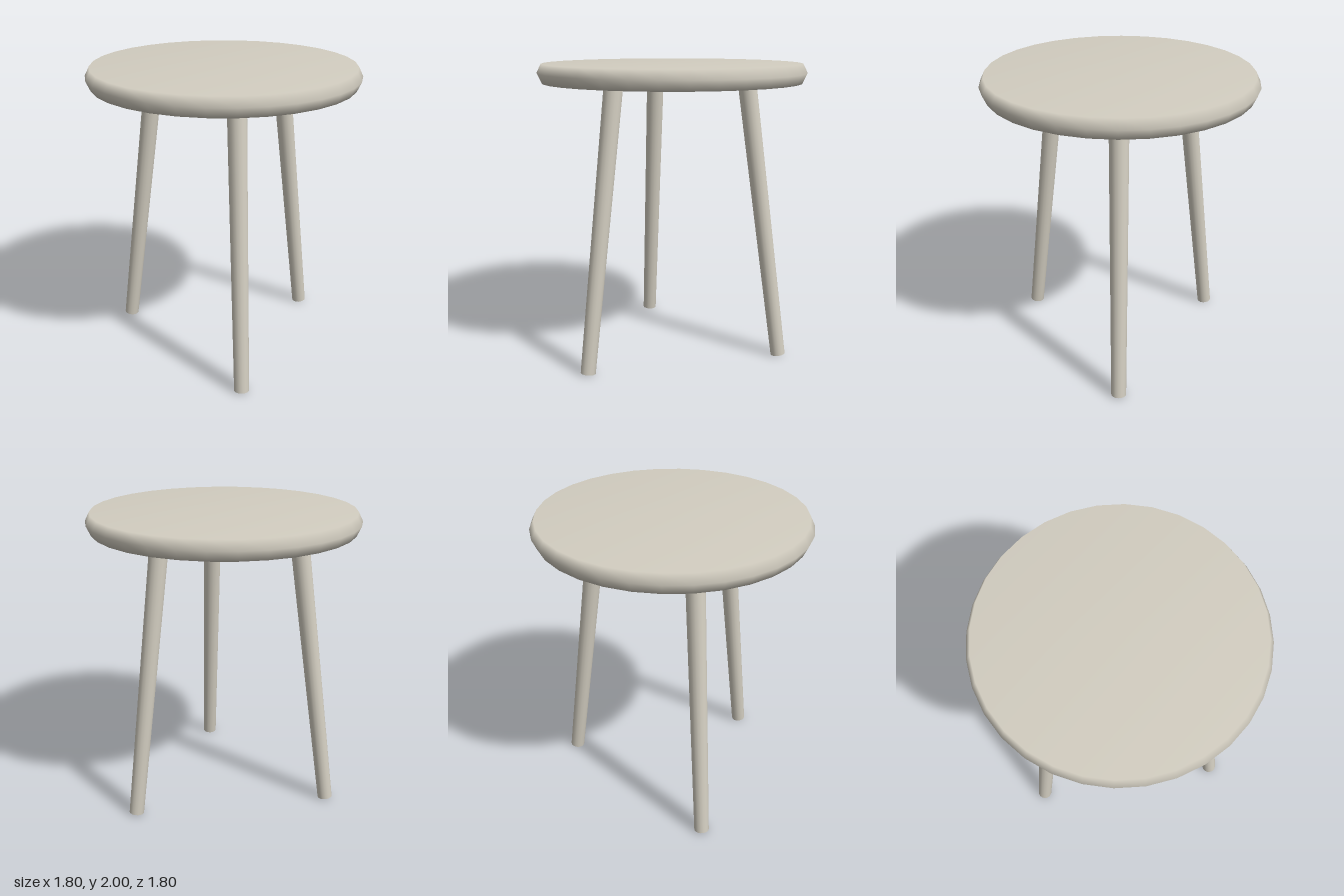
import * as THREE from 'three';
import { mergeVertices } from 'three/addons/utils/BufferGeometryUtils.js';

// Weld the vertices so shading runs smoothly over every edge
function smooth(geometry) {
  geometry.deleteAttribute('normal');
  geometry.deleteAttribute('uv');
  const welded = mergeVertices(geometry, 1e-4);
  welded.computeVertexNormals();
  return welded;
}

export function createModel() {
  const stool = new THREE.Group();
  stool.name = 'stool';
  const paint = new THREE.MeshStandardMaterial({ color: 0xd2cdc0 });
  paint.name = 'warm grey';

  // Round seat with a pointed bevel around the rim
  const profile = [[0, 1.875], [0.87, 1.875], [0.9, 1.94], [0.87, 2], [0, 2]]
    .map(([r, y]) => new THREE.Vector2(r, y));
  const seat = new THREE.Mesh(new THREE.LatheGeometry(profile, 32), paint);
  seat.name = 'seat';
  stool.add(seat);

  // Three tapered, splayed legs, the first towards +x
  const top = new THREE.Vector3(0.513, 1.87, 0);
  const foot = new THREE.Vector3(0.769, 0.007, 0);
  const axis = top.clone().sub(foot);
  const legGeometry = smooth(new THREE.CylinderGeometry(0.062, 0.05, axis.length(), 16));
  legGeometry.applyQuaternion(
    new THREE.Quaternion().setFromUnitVectors(new THREE.Vector3(0, 1, 0), axis.normalize()));
  const middle = top.clone().add(foot).multiplyScalar(0.5);
  legGeometry.translate(middle.x, middle.y, middle.z);

  ['leftLeg', 'backRightLeg', 'frontRightLeg'].forEach((name, i) => {
    const leg = new THREE.Mesh(legGeometry, paint);
    leg.name = name;
    leg.rotation.y = (i * Math.PI * 2) / 3;
    stool.add(leg);
  });

  return stool;
}
